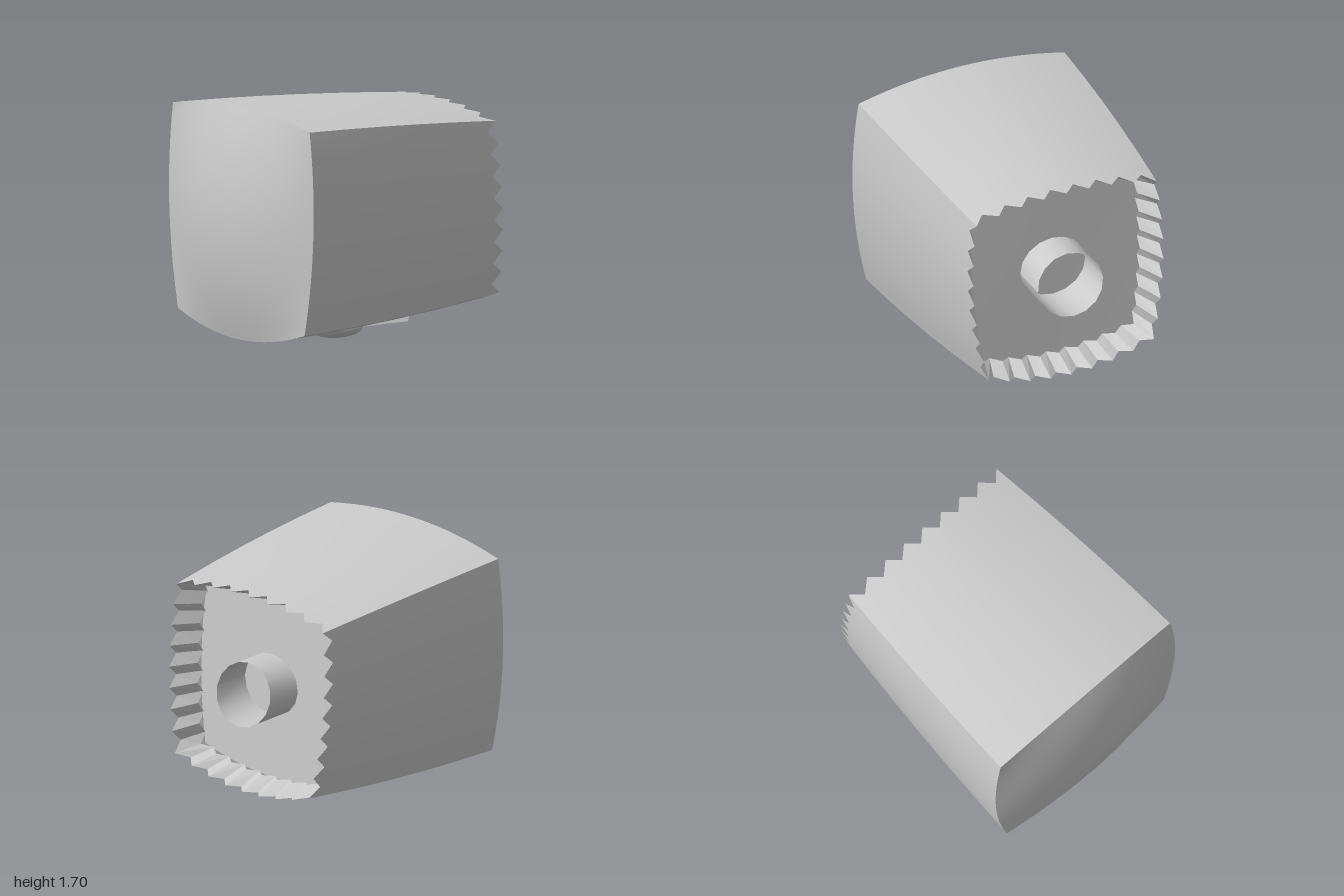
import * as THREE from 'three';

const lerp = THREE.MathUtils.lerp;

// Body cross-section: u, v in [-1, 1] across and up, tapering towards the back
function body(u, v, z) {
  const t = (0.84 - z) / 1.7;
  const halfWidth = (0.855 + 0.03 * v - 0.075 * v * v) * (1 - 0.055 * t - 0.07 * t * t);
  const top = 1.7 - 0.05 * t - 0.05 * t * t - 0.087 * u * u;
  const bottom = 0.02 + 0.05 * t + 0.06 * t * t + 0.123 * u * u;
  return [u * halfWidth, lerp(bottom, top, (v + 1) / 2), z];
}

// Domed front, and position f along side k of the square outline
const frontZ = (u, v) => 0.84 + 0.02 * (1 - u * u) + 0.14 * (1 - u * u) * (1 - v * v);
const outline = (k, f) => [[f, -1], [1, f], [-f, 1], [-1, -f]][k];

// Grid surface from fn(i, j); its front is towards di x dj
function patch(ni, nj, fn) {
  const pos = [], index = [];
  for (let j = 0; j <= nj; j++) for (let i = 0; i <= ni; i++) pos.push(...fn(i, j));
  for (let j = 0; j < nj; j++) {
    for (let i = 0; i < ni; i++) {
      const a = j * (ni + 1) + i, d = a + ni + 1;
      index.push(a, a + 1, d + 1, a, d + 1, d);
    }
  }
  const g = new THREE.BufferGeometry();
  g.setAttribute('position', new THREE.Float32BufferAttribute(pos, 3));
  g.setIndex(index);
  g.computeVertexNormals();
  return g;
}

export function createModel() {
  const group = new THREE.Group();
  const smooth = new THREE.MeshStandardMaterial({ color: 0xcccccc });
  const flat = new THREE.MeshStandardMaterial({ color: 0xcccccc, flatShading: true });
  const open = new THREE.MeshStandardMaterial({ color: 0xcccccc, side: THREE.DoubleSide });
  const add = (name, geometry, material) => {
    const mesh = new THREE.Mesh(geometry, material);
    mesh.name = name;
    group.add(mesh);
    return mesh;
  };

  // Bulging front face
  add('frontFace', patch(16, 16, (i, j) => {
    const u = i / 8 - 1, v = j / 8 - 1;
    return body(u, v, frontZ(u, v));
  }), smooth);

  // Four walls with a toothed rear edge, and pleats folding inwards from it
  const SEG = 16, ROWS = 6;
  const tooth = i => (i % 2 ? 1 : -1);
  const rimZ = (v, i) => -0.875 + 0.04 * v + 0.042 * tooth(i);
  const names = ['bottom', 'left', 'top', 'right'];
  names.forEach((side, k) => {
    add(side + 'Wall', patch(SEG, ROWS, (i, j) => {
      const [u, v] = outline(k, i / 8 - 1);
      const z = j === 0 ? rimZ(v, i) : lerp(-0.79, frontZ(u, v), (j - 1) / (ROWS - 1));
      return body(u, v, z);
    }), smooth);

    add(side + 'Pleats', patch(SEG, 1, (i, j) => {
      const [u, v] = outline(k, i / 8 - 1);
      if (j === 1) return body(u, v, rimZ(v, i));
      return body(u * 0.86, v * 0.88, -0.68 + 0.04 * v + 0.03 * tooth(i));
    }).toNonIndexed(), flat);
  });

  // Recessed rear panel
  add('rearPanel', patch(12, 12, (i, j) => {
    const u = (i / 6 - 1) * 0.88, v = (1 - j / 6) * 0.9;
    return body(u, v, -0.65 + 0.04 * v);
  }), open);

  // Open socket with a slanted mouth
  add('rearSocket', patch(16, 1, (i, j) => {
    const a = i / 16 * Math.PI * 2;
    const y = 0.875 + 0.225 * Math.sin(a);
    return [0.255 * Math.cos(a), y, j ? -0.62 : -1 + 0.12 * (y - 0.65) / 0.45];
  }), open);

  // Two rounded pads underneath
  for (const s of [1, -1]) {
    const pad = add(s > 0 ? 'leftPad' : 'rightPad', new THREE.SphereGeometry(1, 20, 12), smooth);
    pad.scale.set(0.2, 0.072, 0.18);
    pad.position.set(s * 0.335, 0.087, 0.24);
    pad.rotation.z = s * 0.14;
  }

  // Triangular wedge underneath, bent along the centre line
  const tip = [0, 0.003, -0.13], mid = [0, 0.03, -0.44];
  const left = [0.26, 0.055, -0.44], right = [-0.26, 0.055, -0.44];
  const up = p => [p[0], p[1] + 0.08, p[2] + (p === tip ? 0.02 : -0.02)];
  const faces = [[tip, mid, left], [tip, right, mid]];
  for (const [a, b] of [[tip, left], [left, mid], [mid, right], [right, tip]]) {
    faces.push([a, b, up(b)], [a, up(b), up(a)]);
  }
  const wedge = new THREE.BufferGeometry();
  wedge.setAttribute('position', new THREE.Float32BufferAttribute(faces.flat(2), 3));
  wedge.computeVertexNormals();
  add('bottomWedge', wedge, new THREE.MeshStandardMaterial({
    color: 0xcccccc, flatShading: true, side: THREE.DoubleSide }));

  return group;
}
